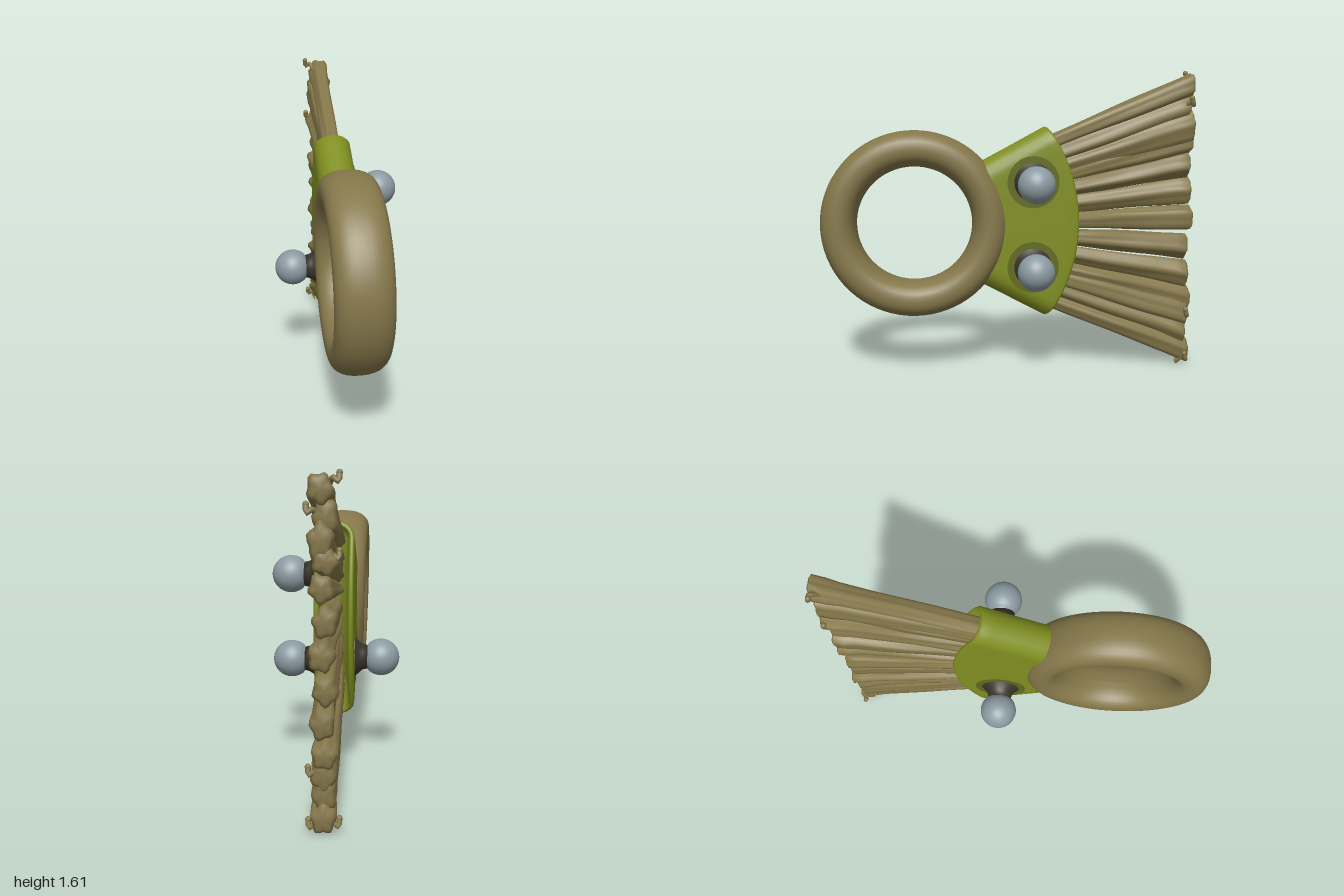
import * as THREE from 'three';

const RING_Y = 0.81, RING_Z = 0.505;
const mat = (name, color) => new THREE.MeshStandardMaterial({ name, color });

// Skin a list of equal-length point loops, with a fan over each end
function loft(loops) {
  const n = loops[0].length, pos = [], idx = [];
  for (const loop of loops) for (const p of loop) pos.push(p.x, p.y, p.z);
  for (let i = 0; i < loops.length - 1; i++) {
    for (let j = 0; j < n; j++) {
      const a = i * n + j, b = i * n + (j + 1) % n;
      idx.push(a, b, b + n, a, b + n, a + n);
    }
  }
  const cap = (loop, base, flip) => {
    const c = loop.reduce((s, p) => s.add(p), new THREE.Vector3()).divideScalar(n);
    const k = pos.length / 3;
    pos.push(c.x, c.y, c.z);
    for (let j = 0; j < n; j++) {
      const a = base + j, b = base + (j + 1) % n;
      idx.push(k, flip ? b : a, flip ? a : b);
    }
  };
  cap(loops[0], 0, true);
  cap(loops[loops.length - 1], (loops.length - 1) * n, false);
  const g = new THREE.BufferGeometry();
  g.setAttribute('position', new THREE.Float32BufferAttribute(pos, 3));
  g.setIndex(idx);
  g.computeVertexNormals();
  return g;
}

// Long rounded section of the holder, bent onto a cylinder around the ring centre
function holderLoop(r, hx, hy, capH) {
  const pts = [], sides = 18, arc = 10, s = hy - capH;
  const add = (u, v) => pts.push(new THREE.Vector3(-u, RING_Y + v, RING_Z - Math.sqrt(r * r - v * v)));
  for (const sign of [1, -1]) {
    for (let i = 0; i < sides; i++) add(sign * hx, sign * (-s + 2 * s * i / sides));
    for (let i = 0; i < arc; i++) {
      const a = Math.PI * i / arc;
      add(sign * hx * Math.cos(a), sign * (s + capH * Math.sin(a)));
    }
  }
  return pts;
}

function holderGeometry() {
  const loops = [];
  for (let i = 0; i <= 8; i++) {
    const t = i / 8;
    loops.push(holderLoop(0.42 + 0.435 * t, 0.1, 0.3 + 0.21 * t, 0.08));
  }
  // Rolled rim, then the socket walls and floor
  loops.push(holderLoop(0.866, 0.094, 0.509, 0.076));
  loops.push(holderLoop(0.87, 0.086, 0.502, 0.07));
  loops.push(holderLoop(0.864, 0.076, 0.492, 0.06));
  loops.push(holderLoop(0.85, 0.07, 0.484, 0.055));
  loops.push(holderLoop(0.77, 0.066, 0.444, 0.055));
  return loft(loops);
}

// Ridged clump of fibres that spreads towards a ragged tip
function tuftGeometry(y, half, seed) {
  const loops = [], steps = 14, n = 20;
  const dy = y - RING_Y;
  const rootY = dy * 0.54;
  const rootZ = RING_Z - Math.sqrt(0.75 * 0.75 - rootY * rootY);
  const tipZ = -0.975 - 0.012 * Math.sin(seed * 2.3);
  for (let i = 0; i <= steps + 1; i++) {
    const t = Math.min(i / steps, 1), end = i > steps ? 0.7 : 1;
    const flare = t > 0.92 ? 1.12 : 1;
    const cx = 0.012 * Math.sin(seed * 1.7 + t * 2) * t;
    const cy = RING_Y + rootY + (dy - rootY) * t;
    const z = rootZ + (tipZ - rootZ) * t - (i > steps ? 0.012 : 0);
    const ry = half * (0.56 + 0.44 * t) * end;
    const rx = (0.043 + 0.006 * t) * flare * end;
    const loop = [];
    for (let j = 0; j < n; j++) {
      const a = j / n * Math.PI * 2;
      const k = 1 + 0.13 * Math.cos(5 * a + seed + 0.8 * t) + 0.04 * Math.sin(9 * t + seed + 2 * a);
      loop.push(new THREE.Vector3(cx - rx * k * Math.cos(a), cy + ry * k * Math.sin(a), z));
    }
    loops.push(loop);
  }
  return loft(loops);
}

export function createModel() {
  const model = new THREE.Group();
  const tan = mat('tan', 0x85774a);
  const green = mat('green', 0x7f8e20);
  const olive = mat('dark olive', 0x626a1c);
  const dark = mat('dark brown', 0x38342a);
  const grey = mat('blue grey', 0x8b9ba2);
  const add = (name, geo, material, parent = model) => {
    const m = new THREE.Mesh(geo, material);
    m.name = name;
    parent.add(m);
    return m;
  };

  // Ring with a full, slightly squared section
  const section = [];
  const soft = v => Math.sign(v) * Math.pow(Math.abs(v), 0.85);
  for (let i = 0; i <= 32; i++) {
    const a = Math.PI + i / 32 * Math.PI * 2;
    section.push(new THREE.Vector2(0.4 + 0.095 * soft(Math.cos(a)), 0.138 * soft(Math.sin(a))));
  }
  const ring = add('ring', new THREE.LatheGeometry(section, 72).rotateZ(Math.PI / 2), tan);
  ring.position.set(0, RING_Y, RING_Z);
  ring.rotation.z = 0.02;

  // Fan-shaped holder
  add('holder', holderGeometry(), green);

  // Knobs: two on the left side, one on the right
  const V = (x, y) => new THREE.Vector2(x, y);
  const collar = [V(0.108, -0.005), V(0.1, 0.006), V(0.082, 0.02), V(0.068, 0.042), V(0.061, 0.07), V(0, 0.07)];
  const ball = [V(0.058, 0.04), V(0.059, 0.065)];
  for (let i = 0; i <= 16; i++) {
    const a = -0.7 + (Math.PI / 2 + 0.7) * i / 16;
    ball.push(V(Math.max(0, 0.097 * Math.cos(a)), 0.137 + 0.097 * Math.sin(a)));
  }
  for (const [side, y] of [[1, 1.035], [1, 0.58], [-1, 0.595]]) {
    const knob = new THREE.Group();
    knob.name = 'knob';
    knob.position.set(side * 0.098, y, -0.118);
    knob.rotation.z = -side * Math.PI / 2;
    add('knobPatch', new THREE.CylinderGeometry(0.137, 0.137, 0.008, 40), olive, knob);
    add('knobCollar', new THREE.LatheGeometry(collar, 32), dark, knob);
    add('knobBall', new THREE.LatheGeometry(ball, 32), grey, knob);
    model.add(knob);
  }

  // Fan of fibre tufts: single in the middle, merged at both edges
  const tufts = [
    [1.535, 0.066], [1.42, 0.08], [1.32, 0.08], [1.235, 0.06],
    [1.115, 0.062], [0.972, 0.068], [0.822, 0.068], [0.667, 0.068], [0.515, 0.068],
    [0.375, 0.06], [0.285, 0.08], [0.185, 0.08], [0.077, 0.066],
  ];
  tufts.forEach(([y, half], i) => add('fibreTuft', tuftGeometry(y, half, i * 1.9), tan));

  // Stray fibres curling off the tips
  const strays = [[1.57, -1], [1.44, 1], [1.25, -1], [0.29, 1], [0.05, -1], [0.04, 1]];
  for (const [y, s] of strays) {
    const path = new THREE.CatmullRomCurve3([
      new THREE.Vector3(s * 0.02, y - 0.03, -0.93),
      new THREE.Vector3(s * 0.045, y + 0.01, -0.97),
      new THREE.Vector3(s * 0.065, y - 0.005, -0.975),
      new THREE.Vector3(s * 0.07, y + 0.03, -0.965),
    ]);
    add('strayFibre', new THREE.TubeGeometry(path, 10, 0.013, 8), tan);
    const tip = add('strayTip', new THREE.SphereGeometry(0.014, 10, 8), tan);
    tip.position.copy(path.getPoint(1));
  }
  return model;
}
